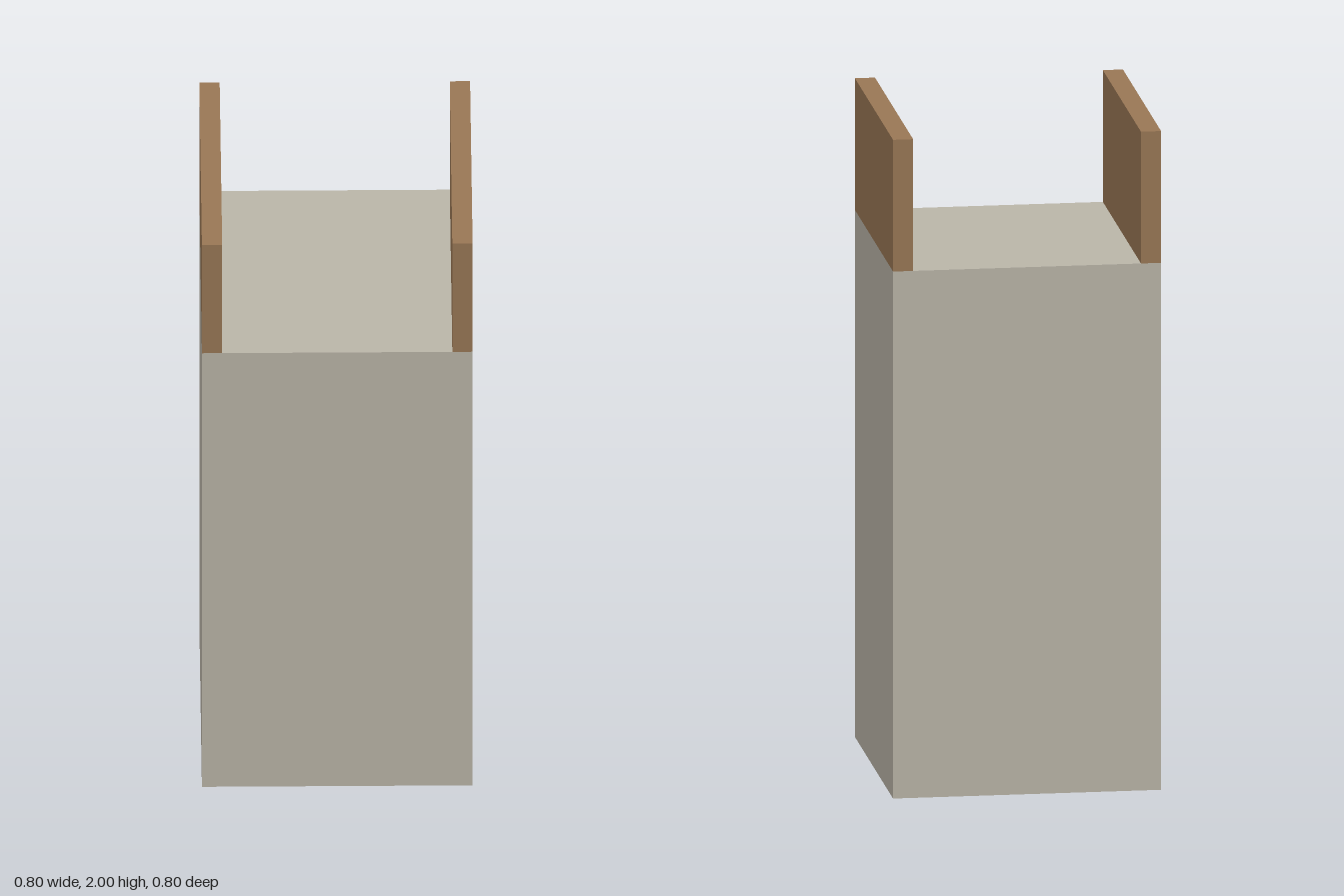
import * as THREE from 'three';

const WIDTH = 0.8, BODY_HEIGHT = 1.6, RAIL_HEIGHT = 0.4, RAIL_THICKNESS = 0.06;

export function createModel() {
  const model = new THREE.Group();
  model.name = 'pillarWithSideRails';
  const stone = new THREE.MeshStandardMaterial({ color: 0xbab5a8 });
  const wood = new THREE.MeshStandardMaterial({ color: 0x997755 });

  const addBox = (name, material, size, x, y) => {
    const mesh = new THREE.Mesh(new THREE.BoxGeometry(...size), material);
    mesh.name = name;
    mesh.position.set(x, y, 0);
    model.add(mesh);
  };

  // Solid square pillar
  addBox('pillar', stone, [WIDTH, BODY_HEIGHT, WIDTH], 0, BODY_HEIGHT / 2);

  // Upright boards flush with the left and right sides
  for (const [name, side] of [['leftRail', 1], ['rightRail', -1]]) {
    addBox(name, wood, [RAIL_THICKNESS, RAIL_HEIGHT, WIDTH],
      side * (WIDTH - RAIL_THICKNESS) / 2, BODY_HEIGHT + RAIL_HEIGHT / 2);
  }
  return model;
}
